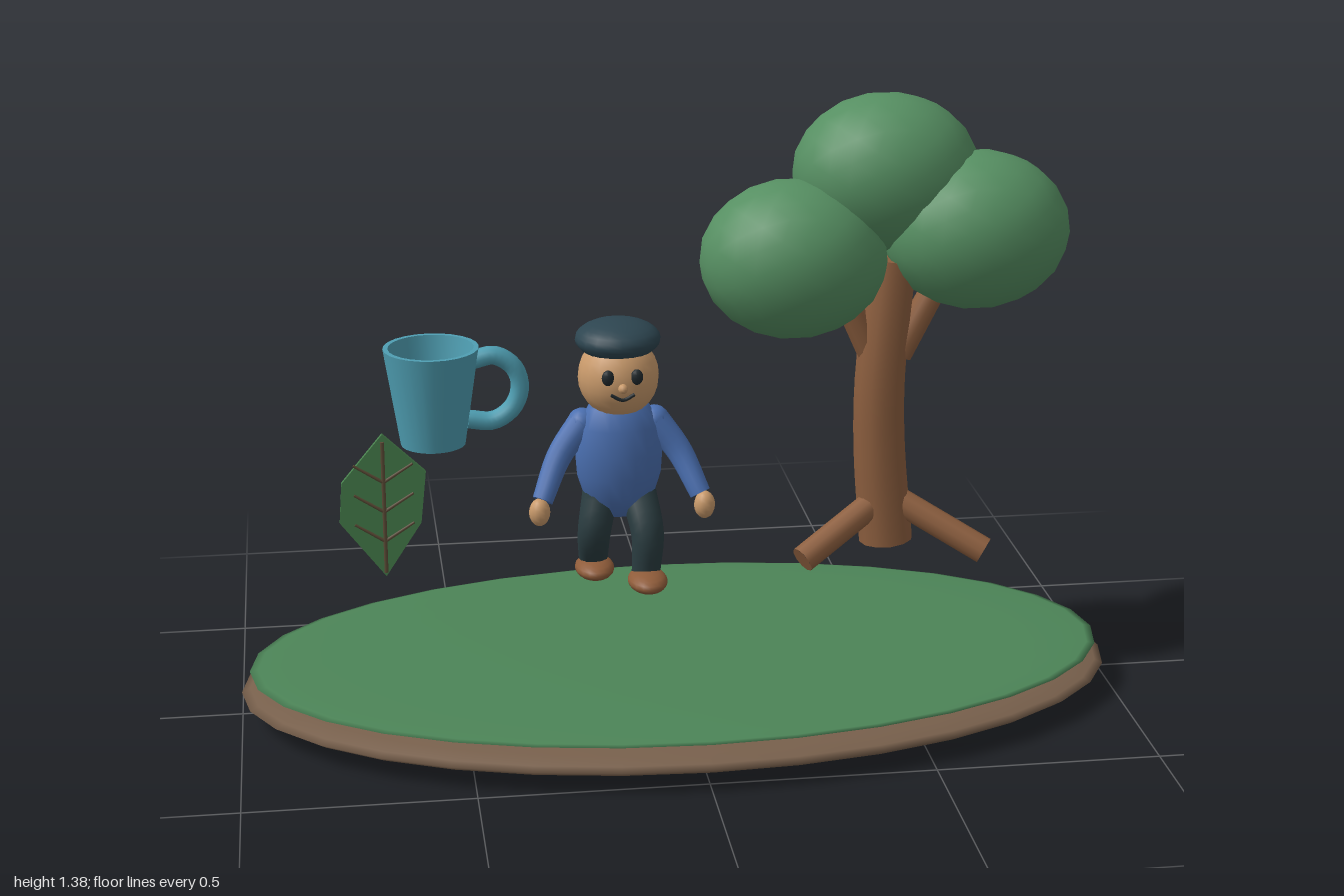
import * as THREE from 'three';
import { mergeGeometries } from 'three/addons/utils/BufferGeometryUtils.js';

const COLORS = {
  soil: 0x78604c, grass: 0x4c8457, foliage: 0x568f62, bark: 0x8d5f3f, skin: 0xc99a6b, shirt: 0x4a6fb0,
  trousers: 0x2a3c40, cap: 0x2d4550, shoe: 0x8f5c3a, mug: 0x4f9fb3, leaf: 0x477f4c, vein: 0x5a4a35, ink: 0x20282c,
};
const mats = {};
for (const key in COLORS) mats[key] = new THREE.MeshStandardMaterial({ color: COLORS[key] });
mats.mug.side = THREE.DoubleSide;

const V = (p) => new THREE.Vector3(...p);

function add(parent, name, geometry, mat) {
  const mesh = new THREE.Mesh(geometry, mats[mat]);
  mesh.name = name;
  parent.add(mesh);
  return mesh;
}

function subgroup(parent, name) {
  const g = new THREE.Group();
  g.name = name;
  parent.add(g);
  return g;
}

// Ellipsoid from a centre and three radii
function ball(parent, name, mat, pos, radii, w = 20, h = 14) {
  const mesh = add(parent, name, new THREE.SphereGeometry(1, w, h), mat);
  mesh.position.set(...pos);
  mesh.scale.set(...radii);
  return mesh;
}

// Capped round rod along a smooth path, tapering from r0 to r1
function rod(parent, name, mat, points, r0, r1 = r0, sides = 12, segs = 10) {
  const curve = new THREE.CatmullRomCurve3(points.map(V));
  const tube = new THREE.TubeGeometry(curve, segs, 1, sides);
  const pos = tube.attributes.position, v = new THREE.Vector3();
  for (let i = 0; i < pos.count; i++) {
    const t = Math.floor(i / (sides + 1)) / segs;
    const c = curve.getPointAt(t);
    v.fromBufferAttribute(pos, i).sub(c).multiplyScalar(r0 + (r1 - r0) * t).add(c);
    pos.setXYZ(i, v.x, v.y, v.z);
  }
  const cap = (t, r, sign) => {
    const q = new THREE.Quaternion().setFromUnitVectors(V([0, 0, 1]), curve.getTangentAt(t).multiplyScalar(sign));
    const p = curve.getPointAt(t);
    return new THREE.CircleGeometry(r, sides).applyQuaternion(q).translate(p.x, p.y, p.z);
  };
  return add(parent, name, mergeGeometries([tube, cap(0, r0, -1), cap(1, r1, 1)]), mat);
}

function buildGround(root) {
  const g = subgroup(root, 'ground');
  ball(g, 'soil', 'soil', [0, 0.057, 0], [1, 0.053, 0.543], 32, 16);
  ball(g, 'grass', 'grass', [0, 0.107, 0], [0.98, 0.018, 0.523], 32, 16);
}

function buildTree(root) {
  const g = subgroup(root, 'tree');
  rod(g, 'trunk', 'bark', [[0.482, 0.355, 0], [0.462, 0.58, 0], [0.46, 0.75, 0], [0.485, 1.02, -0.01]], 0.062, 0.055, 12, 12);
  for (const s of [-1, 1]) {
    rod(g, 'root', 'bark', [[0.48 + s * 0.02, 0.455, 0.01], [0.48 + s * 0.21, 0.35, 0.098]], 0.031, 0.031, 10, 1);
    rod(g, 'branch', 'bark', [[0.47 + s * 0.03, 0.8, 0], [0.475 + s * 0.12, 0.98, 0]], 0.032, 0.028, 10, 1);
  }
  const crowns = [[0.258, 1.03, 0], [0.475, 1.205, -0.06], [0.67, 1.083, 0]];
  for (const c of crowns) {
    const crown = add(g, 'foliage', new THREE.IcosahedronGeometry(1, 3), 'foliage');
    crown.position.set(...c);
    crown.scale.set(0.211, 0.179, 0.176);
  }
}

function buildFigure(root) {
  const g = subgroup(root, 'figure');
  g.position.x = -0.135;

  // Torso as a flattened profile
  const profile = [[0, 0.44], [0.045, 0.45], [0.078, 0.49], [0.095, 0.545], [0.099, 0.6], [0.09, 0.66], [0.07, 0.705], [0.05, 0.717], [0, 0.72]];
  const torso = add(g, 'torso', new THREE.LatheGeometry(profile.map((p) => new THREE.Vector2(...p)), 20), 'shirt');
  torso.scale.z = 0.7;

  // Head, cap and face
  ball(g, 'head', 'skin', [0, 0.776, 0], [0.091, 0.094, 0.088]);
  ball(g, 'cap', 'cap', [0, 0.86, -0.008], [0.096, 0.044, 0.094]);
  ball(g, 'nose', 'skin', [0, 0.772, 0.09], [0.011, 0.011, 0.013], 10, 8);
  rod(g, 'mouth', 'ink', [[-0.026, 0.757, 0.086], [0, 0.745, 0.087], [0.026, 0.757, 0.086]], 0.004, 0.004, 6, 8);

  for (const s of [-1, 1]) {
    ball(g, 'eye', 'ink', [s * 0.032, 0.795, 0.08], [0.014, 0.018, 0.01], 12, 8);
    // Arms and hands
    ball(g, 'shoulder', 'shirt', [s * 0.082, 0.665, -0.008], [0.034, 0.034, 0.034], 12, 10);
    rod(g, 'arm', 'shirt', [[s * 0.082, 0.665, -0.008], [s * 0.135, 0.595, 0.008], [s * 0.178, 0.505, 0.05]], 0.034, 0.024);
    ball(g, 'hand', 'skin', [s * 0.186, 0.482, 0.062], [0.024, 0.032, 0.024], 12, 10);
    // Legs in mid-stride, the left one forward
    const knee = s > 0 ? 0.05 : 0.012, ankle = s > 0 ? 0.045 : -0.05;
    rod(g, 'leg', 'trousers', [[s * 0.042, 0.5, 0], [s * 0.058, 0.415, knee], [s * 0.055, 0.32, ankle]], 0.042, 0.033);
    ball(g, 'shoe', 'shoe', [s * 0.055, 0.31, s > 0 ? 0.072 : -0.025], [0.045, 0.024, 0.066], 16, 10);
  }
}

function buildMug(root) {
  const g = subgroup(root, 'mug');
  g.position.x = -0.55;
  const profile = [[0, 0.635], [0.072, 0.635], [0.072, 0.635], [0.106, 0.858], [0.106, 0.858], [0.095, 0.858], [0.095, 0.858], [0.064, 0.655], [0.064, 0.655], [0, 0.655]];
  add(g, 'cup', new THREE.LatheGeometry(profile.map((p) => new THREE.Vector2(...p)), 24), 'mug');
  rod(g, 'handle', 'mug', [[0.09, 0.825, 0], [0.14, 0.834, 0], [0.182, 0.805, 0], [0.195, 0.76, 0],
    [0.178, 0.712, 0], [0.135, 0.683, 0], [0.078, 0.688, 0]], 0.021, 0.021, 10, 24);
}

function buildLeaf(root) {
  const g = subgroup(root, 'leaf');
  g.position.x = -0.664;
  const outline = [[0, 0.662], [-0.093, 0.55], [-0.1, 0.457], [0, 0.325], [0.082, 0.45], [0.095, 0.57]];
  const shape = new THREE.Shape(outline.map((p) => new THREE.Vector2(...p)));
  const blade = add(g, 'blade', new THREE.ExtrudeGeometry(shape, { depth: 0.012, bevelEnabled: false }), 'leaf');
  blade.position.z = -0.006;
  rod(g, 'midrib', 'vein', [[0, 0.335, 0.007], [0, 0.645, 0.007]], 0.005, 0.005, 6, 1);
  for (const y of [0.41, 0.48, 0.55]) {
    for (const s of [-1, 1]) {
      rod(g, 'sideVein', 'vein', [[0, y, 0.007], [s * 0.066, y + 0.042, 0.007]], 0.004, 0.003, 6, 1);
    }
  }
}

export function createModel() {
  const root = new THREE.Group();
  root.name = 'parkScene';
  buildGround(root);
  buildTree(root);
  buildFigure(root);
  buildMug(root);
  buildLeaf(root);
  return root;
}
